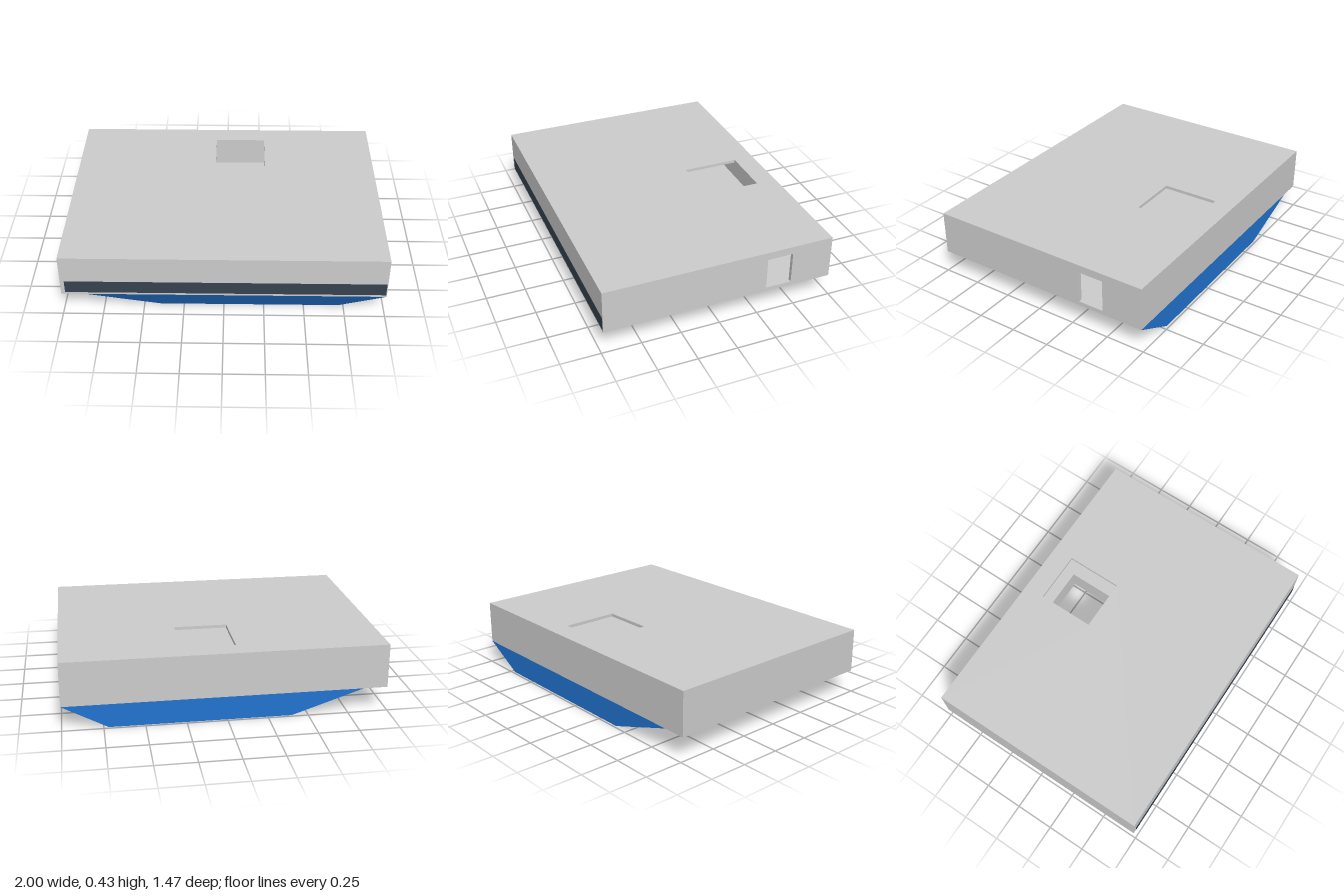
import * as THREE from 'three';

const mat = (name, color) => {
  const m = new THREE.MeshStandardMaterial({ color });
  m.name = name;
  return m;
};

// Rectangle shape, optionally with a rectangular hole; rects are [u0, v0, u1, v1]
function rectShape([u0, v0, u1, v1], hole) {
  const pts = (a, b, c, d) => [[a, b], [c, b], [c, d], [a, d]].map(p => new THREE.Vector2(...p));
  const shape = new THREE.Shape(pts(u0, v0, u1, v1));
  if (hole) shape.holes.push(new THREE.Path(pts(...hole).reverse()));
  return shape;
}

// Horizontal slab: rects in x and z, reaching down from yTop
function slab(rect, hole, yTop, depth) {
  return new THREE.ExtrudeGeometry(rectShape(rect, hole), { depth, bevelEnabled: false })
    .rotateX(Math.PI / 2).translate(0, yTop, 0);
}

function boxBetween(x0, x1, y0, y1, z0, z1) {
  return new THREE.BoxGeometry(x1 - x0, y1 - y0, z1 - z0)
    .translate((x0 + x1) / 2, (y0 + y1) / 2, (z0 + z1) / 2);
}

export function createModel() {
  const gray = mat('lightGray', 0xcccccc);
  const blue = mat('hullBlue', 0x2173cf);
  const red = mat('darkRed', 0x803639);
  const slate = mat('windowSlate', 0x37434e);

  const model = new THREE.Group();
  model.name = 'hollowDeckhouse';
  const add = (name, geometry, material) => {
    const mesh = new THREE.Mesh(geometry, material);
    mesh.name = name;
    model.add(mesh);
  };

  const Z = 0.735, base = 0.15, top = 0.43, t = 0.025;
  const floorTop = base + 0.015, ceiling = top - 0.02;
  const hatch = [-0.07, -0.6, 0.265, -0.235];

  // Cabin shell: roof and floor share a hatch opening
  add('roof', slab([-1, -Z, 1, Z], hatch, top, top - ceiling), gray);
  add('floor', slab([-1, -Z, 1, Z], hatch, floorTop, floorTop - base), gray);
  add('rightWall', boxBetween(-1, -1 + t, floorTop, ceiling, -Z, Z), gray);
  add('backWall', boxBetween(-1 + t, 1 - t, floorTop, ceiling, -Z, -Z + t), gray);
  add('frontWall', boxBetween(-1 + t, 1 - t, floorTop, ceiling, Z - t, Z), gray);

  // Left wall with its doorway
  const leftWall = new THREE.ExtrudeGeometry(
    rectShape([-Z, floorTop, Z, ceiling], [-0.47, 0.175, -0.303, 0.38]),
    { depth: t, bevelEnabled: false }
  ).rotateY(-Math.PI / 2).translate(1, 0, 0);
  add('leftWall', leftWall, gray);

  // Long window band across the front
  add('windowBand', boxBetween(-0.975, 0.995, floorTop, 0.25, Z - 0.001, Z + 0.002), slate);

  // Three tall storage racks inside
  [-0.937, -0.765, -0.6].forEach((x, i) =>
    add(`rack${i + 1}`, boxBetween(x, x + 0.115, floorTop, ceiling, -0.645, 0.21), red));

  // Hull sides: loft from the wide upper outline to the narrow lower one
  const upper = [[-0.85, base, Z], [1, base, Z], [1, base, -Z], [-0.85, base, -Z]];
  const lower = [[-0.4, 0, 0.65], [0.72, 0, 0.65], [0.72, 0, -Z], [-0.4, 0, -Z]];
  const positions = [];
  for (let i = 0; i < 4; i++) {
    const j = (i + 1) % 4;
    for (const p of [upper[i], lower[i], lower[j], upper[i], lower[j], upper[j]]) positions.push(...p);
  }
  const sides = new THREE.BufferGeometry();
  sides.setAttribute('position', new THREE.Float32BufferAttribute(positions, 3));
  sides.computeVertexNormals();
  add('hullSides', sides, blue);

  // Flat hull bottom with the hatch cut through
  add('hullBottom',
    new THREE.ShapeGeometry(rectShape([-0.4, -Z, 0.72, 0.65], hatch)).rotateX(Math.PI / 2), blue);

  // Shaft lining between floor and hull bottom
  const rim = 0.02;
  add('hatchShaft',
    slab([hatch[0] - rim, hatch[1] - rim, hatch[2] + rim, hatch[3] + rim], hatch, base, base - 0.001), gray);

  return model;
}
